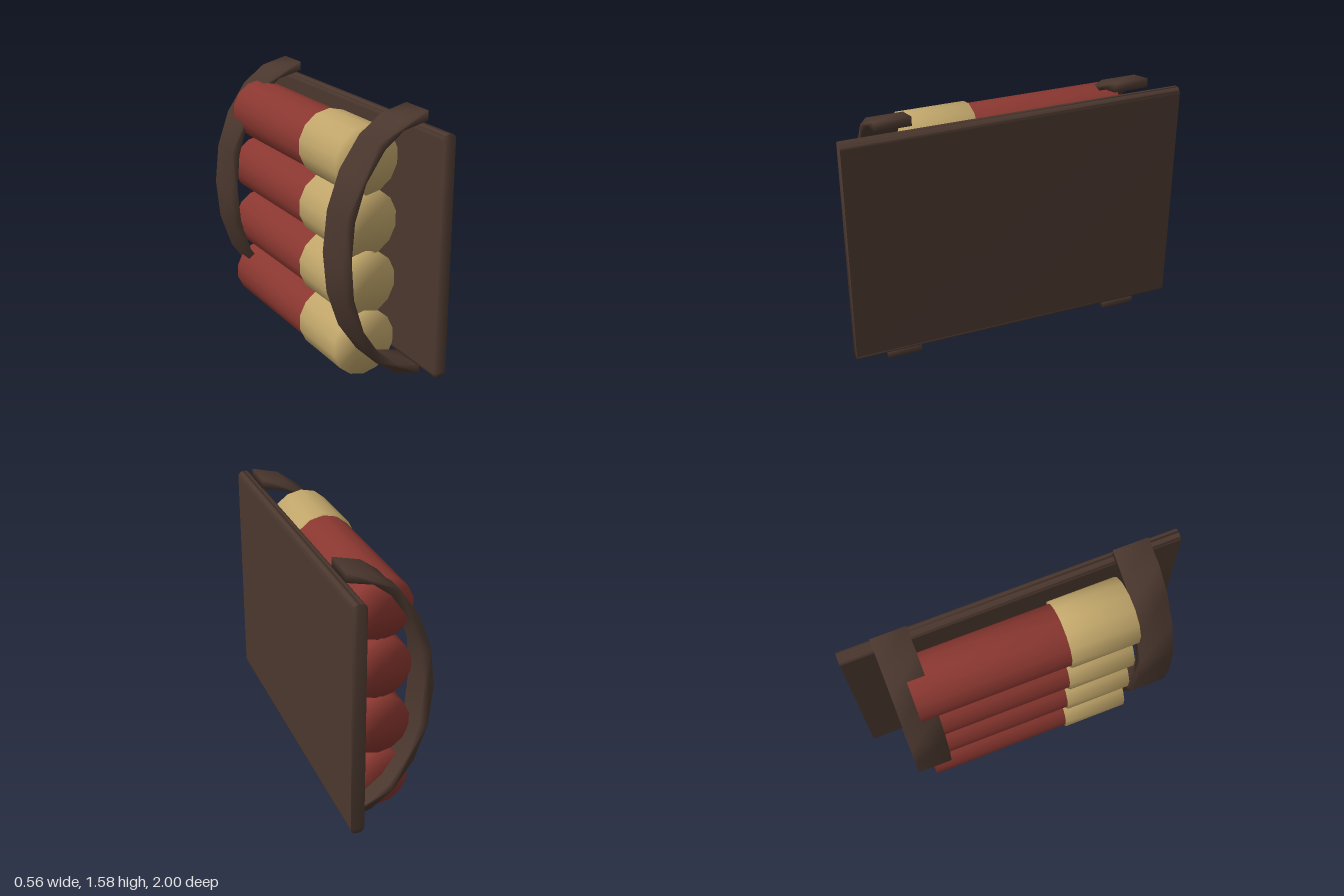
import * as THREE from 'three';
import { mergeVertices } from 'three/addons/utils/BufferGeometryUtils.js';

const mat = (name, color) => {
  const m = new THREE.MeshStandardMaterial({ color });
  m.name = name;
  return m;
};

// Weld the corners so shading flows softly over every edge
function soften(geometry) {
  geometry.deleteAttribute('normal');
  geometry.deleteAttribute('uv');
  const welded = mergeVertices(geometry, 1e-4);
  welded.computeVertexNormals();
  return welded;
}

function addMesh(parent, name, geometry, material) {
  const mesh = new THREE.Mesh(soften(geometry), material);
  mesh.name = name;
  parent.add(mesh);
  return mesh;
}

// Extrude a front-facing outline from z0 to z1
function slab(shape, z0, z1) {
  const g = new THREE.ExtrudeGeometry(shape, { depth: z1 - z0, bevelEnabled: false, curveSegments: 3 });
  return g.translate(0, 0, z0);
}

// Fourteen-sided cylinder lying along z
function rod(radius, z0, z1) {
  const g = new THREE.CylinderGeometry(radius, radius, z1 - z0, 14);
  return g.rotateX(Math.PI / 2).translate(0, 0, (z0 + z1) / 2);
}

export function createModel() {
  const group = new THREE.Group();
  group.name = 'shellHolder';
  const leather = mat('darkBrown', 0x4a372e);
  const brass = mat('brass', 0xc2a76b);
  const red = mat('red', 0x8a3730);

  // Backing plate with rounded upper and lower edges
  const [l, r, b, t, c] = [0.195, 0.275, 0.1, 1.5, 0.034];
  const outline = new THREE.Shape();
  outline.moveTo(l + c, b);
  outline.lineTo(r - c, b);
  outline.absarc(r - c, b + c, c, -Math.PI / 2, 0);
  outline.absarc(r - c, t - c, c, 0, Math.PI / 2);
  outline.absarc(l + c, t - c, c, Math.PI / 2, Math.PI);
  outline.absarc(l + c, b + c, c, Math.PI, Math.PI * 1.5);
  addMesh(group, 'backPlate', slab(outline, -1, 1), leather);

  // Stacked shells: brass base in front, red hull behind
  for (let i = 0; i < 4; i++) {
    const shell = new THREE.Group();
    shell.name = 'shell' + (i + 1);
    shell.position.set(-0.007, 0.2 + i * 0.362, 0);
    addMesh(shell, 'brassBase', rod(0.2, 0.19, 0.595), brass);
    addMesh(shell, 'redHull', rod(0.185, -0.7, 0.2), red);
    group.add(shell);
  }

  // Curved straps, mirrored about mid height
  const mid = 0.81;
  const outer = [[0.235, 0.77], [0.075, 0.73], [-0.06, 0.63], [-0.18, 0.455], [-0.255, 0.24], [-0.28, 0]];
  const inner = [[0.235, 0.715], [0.085, 0.68], [-0.03, 0.59], [-0.14, 0.425], [-0.205, 0.22], [-0.222, 0]];
  const arc = (half) => [
    ...half.map(([x, y]) => new THREE.Vector2(x, mid + y)),
    ...half.slice(0, -1).reverse().map(([x, y]) => new THREE.Vector2(x, mid - y)),
  ];
  const band = new THREE.Shape([...arc(outer), ...arc(inner).reverse()]);
  addMesh(group, 'frontStrap', slab(band, 0.597, 0.805), leather);
  addMesh(group, 'rearStrap', slab(band, -0.805, -0.597), leather);

  return group;
}
